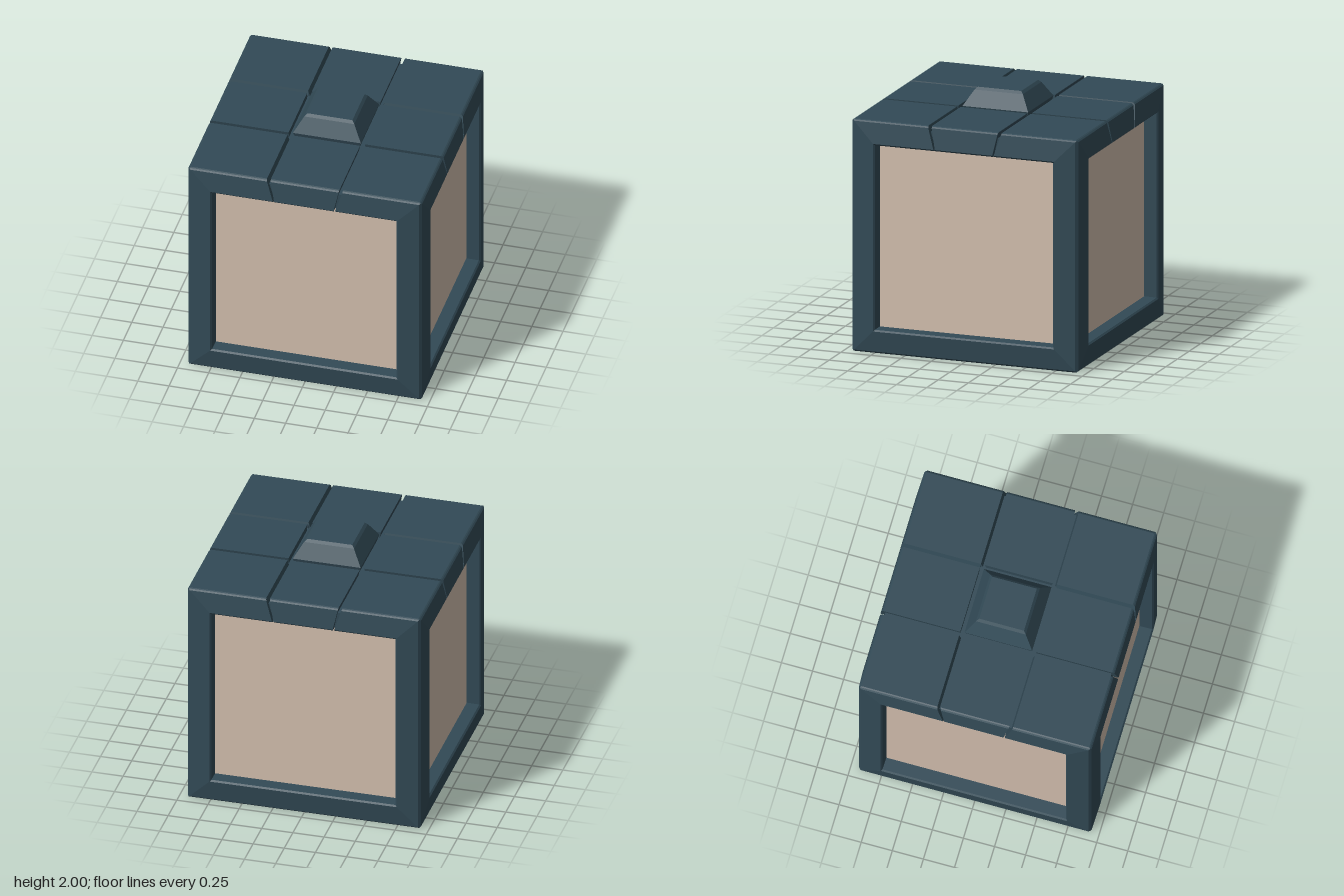
import * as THREE from 'three';

const CENTRE = 0.93; // height of the cube's middle

// Bar cross-section as [distance from opening centre, depth outward]
const edge = [0.925, 0.925];
const face = [[0.915, 0.935], [0.75, 0.957], [0.738, 0.945], [0.735, 0.845]];
const sideProfile = [edge, ...face];
const baseProfile = [[0.93, 0], [0.93, 0.915], edge, ...face];
const topProfile = [[0.93, 0.305], [0.93, 0.915], edge, ...face, [0.87, 0.845], [0.87, 0.305]];

// Ends of a bar: mitred to its neighbour, or cut along a slanted groove
const mitre = (h, d) => Math.min(h, d);
const slant = (low, high) => (h) => low + (high - low) * (h - 0.735) / 0.195;
const midCut = slant(0.235, 0.275);
const cornerCut = slant(0.245, 0.305);
const neg = (f) => (h, d) => -f(h, d);

// Sweeps a profile along x between two end rules
function bar(profile, xa, xb, { closed = false, capA = false, capB = false } = {}) {
  const pos = [];
  const at = (p, f) => [f(p[0], p[1]), p[0], p[1]];
  const n = profile.length;
  for (let i = 0; i < (closed ? n : n - 1); i++) {
    const p = profile[i], q = profile[(i + 1) % n];
    const a = at(p, xa), b = at(q, xa), c = at(q, xb), d = at(p, xb);
    pos.push(...a, ...b, ...c, ...a, ...c, ...d);
  }
  const cap = (f, sign) => {
    const pts = profile.map(([h, d]) => new THREE.Vector2(d, h));
    for (const [i, j, k] of THREE.ShapeUtils.triangulateShape(pts, [])) {
      const u = pts[j].clone().sub(pts[i]), v = pts[k].clone().sub(pts[i]);
      // in the (z, y) plane a clockwise triangle faces +x
      const order = u.cross(v) * sign < 0 ? [i, j, k] : [i, k, j];
      order.forEach((m) => pos.push(...at(profile[m], f)));
    }
  };
  if (capA) cap(xa, -1);
  if (capB) cap(xb, 1);
  const g = new THREE.BufferGeometry();
  g.setAttribute('position', new THREE.Float32BufferAttribute(pos, 3));
  g.computeVertexNormals();
  return g;
}

export function createModel() {
  const model = new THREE.Group();
  model.name = 'lanternCube';
  const frameMat = new THREE.MeshStandardMaterial({ color: 0x324a56 });
  frameMat.name = 'dark slate';
  const panelMat = new THREE.MeshStandardMaterial({ color: 0xd3bfae });
  panelMat.name = 'warm beige';

  const add = (parent, name, geometry, material, y = 0) => {
    const mesh = new THREE.Mesh(geometry, material);
    mesh.name = name;
    mesh.position.y = y;
    parent.add(mesh);
    return mesh;
  };

  // Shared bars for one side of the cube
  const post = bar(sideProfile, neg(mitre), mitre);
  const parts = [
    ['leftPost', post.clone().rotateZ(-Math.PI / 2)],
    ['rightPost', post.clone().rotateZ(Math.PI / 2)],
    ['baseBar', bar(baseProfile, neg(mitre), mitre).rotateZ(Math.PI)],
    ['middleTile', bar(topProfile, neg(midCut), midCut, { closed: true, capA: true, capB: true })],
    ['leftCornerTile', bar(topProfile, cornerCut, mitre, { closed: true, capA: true })],
    ['rightCornerTile', bar(topProfile, neg(mitre), neg(cornerCut), { closed: true, capB: true })],
  ];
  ['front', 'left', 'back', 'right'].forEach((side, i) => {
    const group = new THREE.Group();
    group.name = side + 'Frame';
    group.position.y = CENTRE;
    group.rotation.y = i * Math.PI / 2;
    parts.forEach(([name, g]) => add(group, name, g, frameMat));
    model.add(group);
  });

  // Recessed side panels
  add(model, 'sidePanels', new THREE.BoxGeometry(1.69, 1.49, 1.69), panelMat, CENTRE);

  // Slab under the top tiles, forming the groove floors
  add(model, 'grooveFloor', new THREE.BoxGeometry(1.82, 0.135, 1.82), frameMat, 1.7425);

  // Tapered square knob in the middle of the top
  const outline = [[0.255, 1.8], [0.272, 1.86], [0.2, 1.98], [0.18, 2], [0, 2]]
    .map(([r, y]) => new THREE.Vector2(r * Math.SQRT2, y));
  const knob = new THREE.LatheGeometry(outline, 4, Math.PI / 4).toNonIndexed();
  knob.computeVertexNormals();
  add(model, 'knob', knob, frameMat);

  return model;
}
